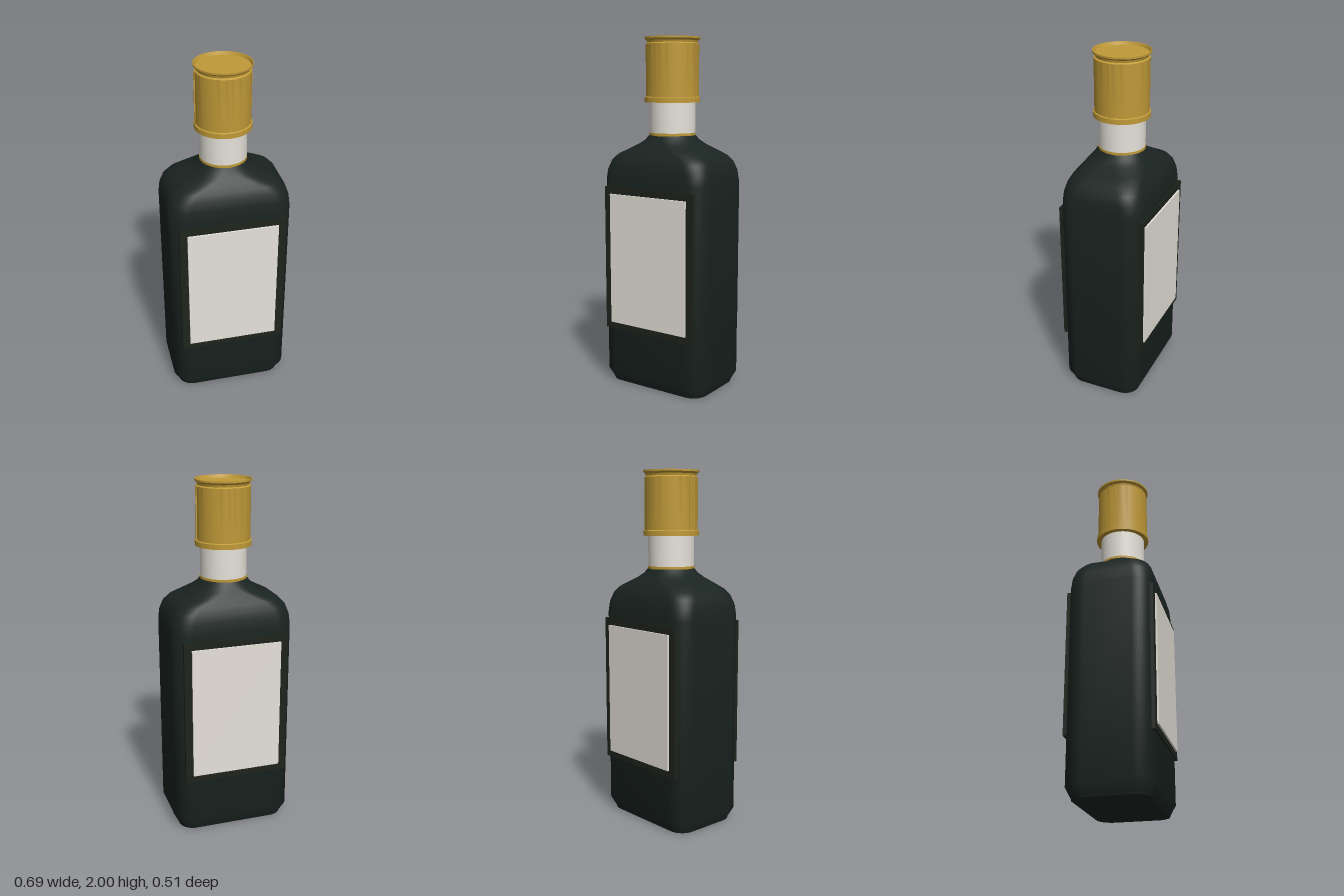
import * as THREE from 'three';
import { toCreasedNormals } from 'three/addons/utils/BufferGeometryUtils.js';

const mat = (color) => new THREE.MeshStandardMaterial({ color });
const glass = mat(0x1a2421), trim = mat(0x1e231b), paper = mat(0xe6e2da), gold = mat(0xc09a38);

// Closed loft of rounded rectangles, each [y, halfX, halfZ, cornerRadius]
function loftRoundedRects(sections, cornerSteps = 10) {
  const pos = [], idx = [], n = 4 * (cornerSteps + 1);
  for (const [y, hx, hz, r] of sections) {
    for (let q = 0; q < 4; q++) {
      const sx = q === 0 || q === 3 ? 1 : -1, sz = q < 2 ? 1 : -1;
      for (let s = 0; s <= cornerSteps; s++) {
        const a = (q + s / cornerSteps) * Math.PI / 2;
        pos.push(sx * (hx - r) + r * Math.cos(a), y, sz * (hz - r) + r * Math.sin(a));
      }
    }
  }
  const last = sections.length - 1;
  for (let i = 0; i < last; i++) {
    for (let j = 0; j < n; j++) {
      const k = (j + 1) % n, a = i * n + j, b = i * n + k;
      idx.push(a, a + n, b, b, a + n, b + n);
    }
  }
  const bottom = pos.length / 3, top = bottom + 1;
  pos.push(0, sections[0][0], 0, 0, sections[last][0], 0);
  for (let j = 0; j < n; j++) {
    const k = (j + 1) % n;
    idx.push(bottom, j, k, top, last * n + k, last * n + j);
  }
  const g = new THREE.BufferGeometry();
  g.setAttribute('position', new THREE.Float32BufferAttribute(pos, 3));
  g.setIndex(idx);
  return toCreasedNormals(g, 0.7);
}

// Turned part from [radius, y] pairs, with crisp edges
function turned(profile) {
  const g = new THREE.LatheGeometry(profile.map(([r, y]) => new THREE.Vector2(r, y)), 64);
  return toCreasedNormals(g, 0.5);
}

export function createModel() {
  const model = new THREE.Group();
  model.name = 'bottle';
  const add = (name, geometry, material, x = 0, y = 0, z = 0) => {
    const m = new THREE.Mesh(geometry, material);
    m.name = name;
    m.position.set(x, y, z);
    model.add(m);
    return m;
  };

  // Rectangular body whose shoulders blend into a round neck
  add('body', loftRoundedRects([
    [0, 0.315, 0.208, 0.085],
    [0.015, 0.32, 0.213, 0.09],
    [0.065, 0.345, 0.238, 0.1],
    [1.2, 0.345, 0.238, 0.1],
    [1.26, 0.339, 0.233, 0.104],
    [1.31, 0.322, 0.22, 0.108],
    [1.345, 0.292, 0.203, 0.112],
    [1.375, 0.235, 0.184, 0.12],
    [1.405, 0.18, 0.163, 0.127],
    [1.43, 0.148, 0.145, 0.13],
    [1.46, 0.129, 0.129, 0.129],
  ]), glass);

  // Framed label on both broad faces
  for (const [side, s] of [['front', 1], ['back', -1]]) {
    add(side + 'LabelBorder', new THREE.BoxGeometry(0.6, 0.835, 0.02), trim, 0, 0.747, s * 0.236);
    add(side + 'Label', new THREE.BoxGeometry(0.514, 0.755, 0.012), paper, 0, 0.747, s * 0.25);
  }

  // Neck sleeve and the thin ring beneath it
  add('neckRing', turned([[0, 1.452], [0.132, 1.452], [0.132, 1.47], [0, 1.47]]), gold);
  add('neckSleeve', turned([[0, 1.468], [0.13, 1.468], [0.13, 1.65], [0, 1.65]]), paper);

  // Cap with a foot band, a groove below the rim and a dished top
  add('cap', turned([
    [0, 1.64], [0.157, 1.64], [0.157, 1.668], [0.15, 1.672], [0.15, 1.962], [0.141, 1.968],
    [0.144, 1.98], [0.157, 1.99], [0.157, 2], [0.153, 2], [0.146, 1.983], [0, 1.983],
  ]), gold);

  // Fine vertical ribs on the sides of the cap
  for (const s of [1, -1]) {
    add('capRib', new THREE.BoxGeometry(0.012, 0.295, 0.008), gold, s * 0.15, 1.815, 0);
  }
  return model;
}
